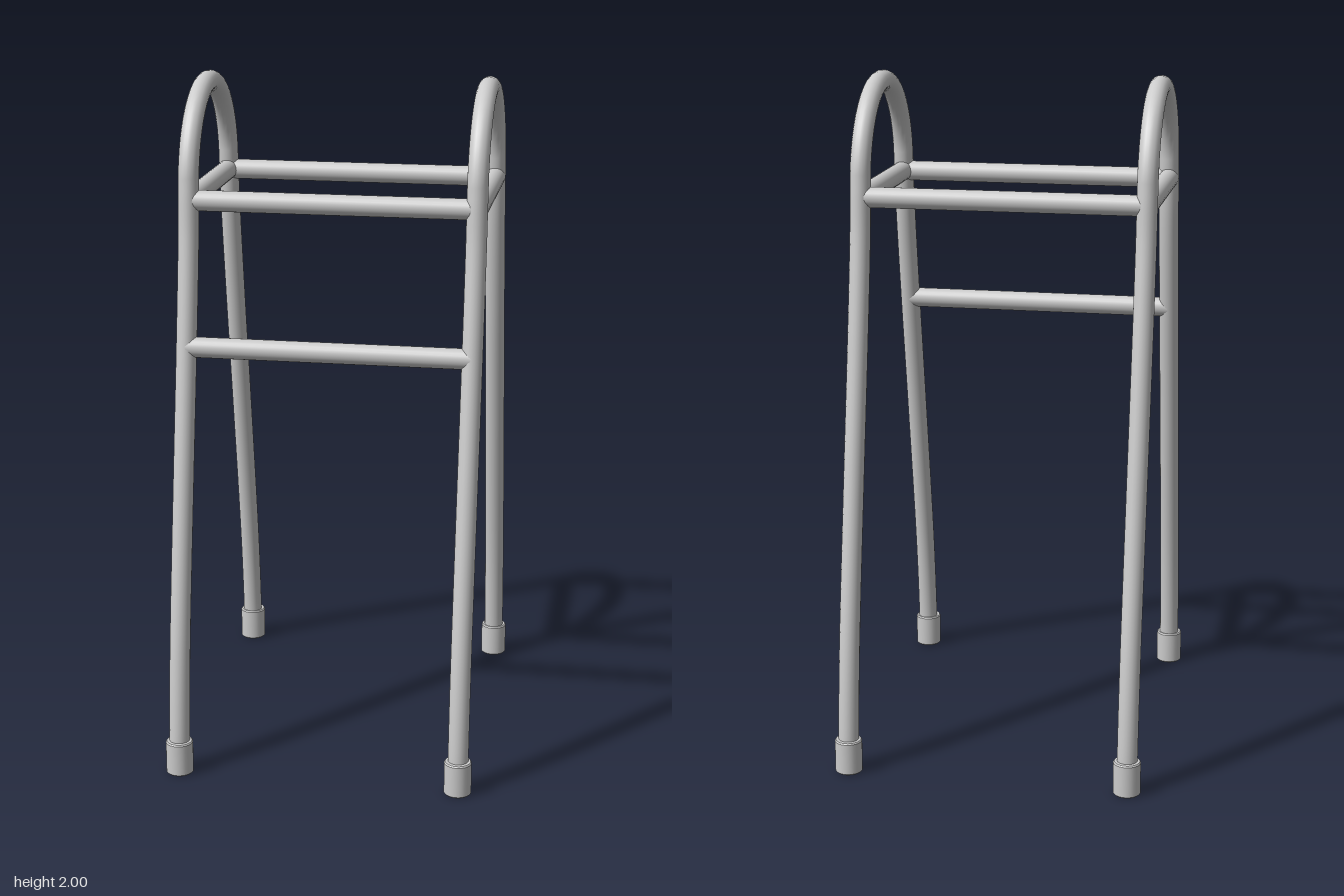
import * as THREE from 'three';

const X = 0.413, R = 0.03;
const material = new THREE.MeshStandardMaterial({ color: 0xcccccc });

function addMesh(parent, geometry, name) {
  const mesh = new THREE.Mesh(geometry, material);
  mesh.name = name;
  parent.add(mesh);
  return mesh;
}

// Straight round bar between two points
function addBar(parent, from, to, name) {
  const a = new THREE.Vector3(...from), b = new THREE.Vector3(...to);
  const dir = b.clone().sub(a);
  const bar = addMesh(parent, new THREE.CylinderGeometry(R, R, dir.length(), 24), name);
  bar.position.copy(a).add(b).multiplyScalar(0.5);
  bar.quaternion.setFromUnitVectors(new THREE.Vector3(0, 1, 0), dir.normalize());
}

// Bent tube: front leg, handle arch, back leg in one sweep
function sideFrameGeometry() {
  const leg = [[0.52, 0.03], [0.513, 0.14], [0.485, 0.38], [0.395, 0.88], [0.325, 1.25], [0.273, 1.56]];
  const arch = [];
  for (let i = 0; i <= 12; i++) {
    const t = (i / 12) * Math.PI;
    arch.push([0.26 * Math.cos(t), 1.69 + 0.28 * Math.sin(t)]);
  }
  const path = [...leg, ...arch, ...leg.map(([z, y]) => [-z, y]).reverse()];
  const curve = new THREE.CatmullRomCurve3(path.map(([z, y]) => new THREE.Vector3(0, y, z)));
  return new THREE.TubeGeometry(curve, 120, R, 20);
}

// Rubber foot with slightly softened rims
function footGeometry() {
  const profile = [[0, 0], [0.036, 0], [0.036, 0], [0.04, 0.004], [0.04, 0.004],
    [0.04, 0.097], [0.04, 0.097], [0.037, 0.101], [0.037, 0.101], [0, 0.101]];
  return new THREE.LatheGeometry(profile.map(([r, y]) => new THREE.Vector2(r, y)), 28);
}

export function createModel() {
  const model = new THREE.Group();
  model.name = 'walkingFrame';
  const frame = sideFrameGeometry(), foot = footGeometry();

  // Side frames with their feet and upper side bars
  for (const [side, x] of [['left', X], ['right', -X]]) {
    const group = new THREE.Group();
    group.name = side + 'Side';
    group.position.x = x;
    addMesh(group, frame, side + 'LegsAndHandle');
    for (const [end, z] of [['Front', 0.52], ['Back', -0.52]]) {
      addMesh(group, foot, side + end + 'Foot').position.z = z;
    }
    addBar(group, [0, 1.665, -0.26], [0, 1.665, 0.26], side + 'SideBar');
    model.add(group);
  }

  // Cross bars joining the two sides
  for (const [name, y, z] of [['upperFrontBar', 1.665, 0.258], ['upperBackBar', 1.665, -0.258], ['lowerFrontBar', 1.25, 0.325]]) {
    addBar(model, [-X, y, z], [X, y, z], name);
  }
  return model;
}
